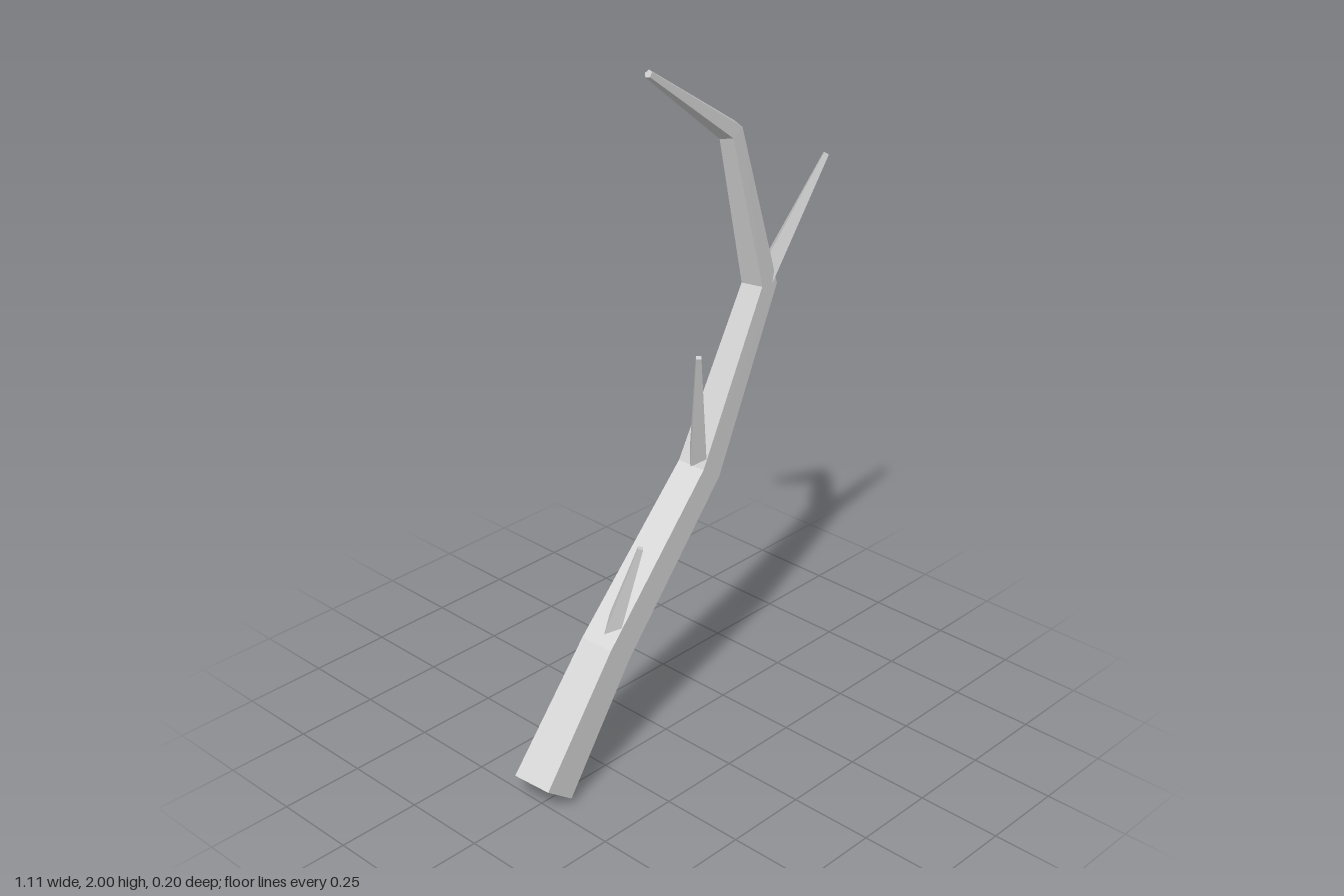
import * as THREE from 'three';

const material = new THREE.MeshStandardMaterial({ color: 0xcccccc, flatShading: true });

// Sweeps a polygon along points [x, y, z, radius], one corner facing the back, ends closed.
function limb(name, points, sides) {
  const centres = points.map(([x, y, z]) => new THREE.Vector3(x, y, z));
  const last = points.length - 1;
  const direction = (i) => centres[i + 1].clone().sub(centres[i]).normalize();
  const rings = centres.map((centre, i) => {
    // Each ring lies on the bisector of the two segments it joins
    const tangent = new THREE.Vector3();
    if (i > 0) tangent.add(direction(i - 1));
    if (i < last) tangent.add(direction(i));
    tangent.normalize();
    const u = tangent.clone().cross(new THREE.Vector3(0, 0, 1)).normalize();
    const v = u.clone().cross(tangent);
    return Array.from({ length: sides }, (_, k) => {
      const a = -Math.PI / 2 + (k / sides) * Math.PI * 2;
      return centre.clone()
        .addScaledVector(u, Math.cos(a) * points[i][3])
        .addScaledVector(v, Math.sin(a) * points[i][3]);
    });
  });

  const triangles = [];
  for (let k = 0; k < sides; k++) {
    const n = (k + 1) % sides;
    for (let i = 0; i < last; i++) {
      const low = rings[i], high = rings[i + 1];
      triangles.push(low[k], high[k], low[n], low[n], high[k], high[n]);
    }
    triangles.push(centres[0], rings[0][k], rings[0][n]);
    triangles.push(centres[last], rings[last][n], rings[last][k]);
  }
  const geometry = new THREE.BufferGeometry().setFromPoints(triangles);
  geometry.computeVertexNormals();
  const mesh = new THREE.Mesh(geometry, material);
  mesh.name = name;
  return mesh;
}

export function createModel() {
  const group = new THREE.Group();
  group.name = 'branch';

  // Bent main stem, thinning to the tip
  group.add(limb('mainStem', [
    [-0.49, 0.055, -0.01, 0.092],
    [-0.24, 0.39, -0.01, 0.079],
    [0.138, 0.812, -0.01, 0.067],
    [0.382, 1.305, -0.01, 0.053],
    [0.258, 1.77, -0.012, 0.036],
    [-0.052, 1.99, -0.012, 0.012],
  ], 5));

  // Side twigs leaning forward from the bends
  const twigs = [
    ['lowerTwig', [-0.238, 0.41, 0.005], [-0.193, 0.725, 0.09]],
    ['middleTwig', [0.125, 0.84, 0.005], [0.032, 1.215, 0.09]],
    ['upperTwig', [0.395, 1.31, 0], [0.543, 1.66, 0.087]],
  ];
  for (const [name, base, tip] of twigs) {
    group.add(limb(name, [[...base, 0.033], [...tip, 0.01]], 4));
  }
  return group;
}
